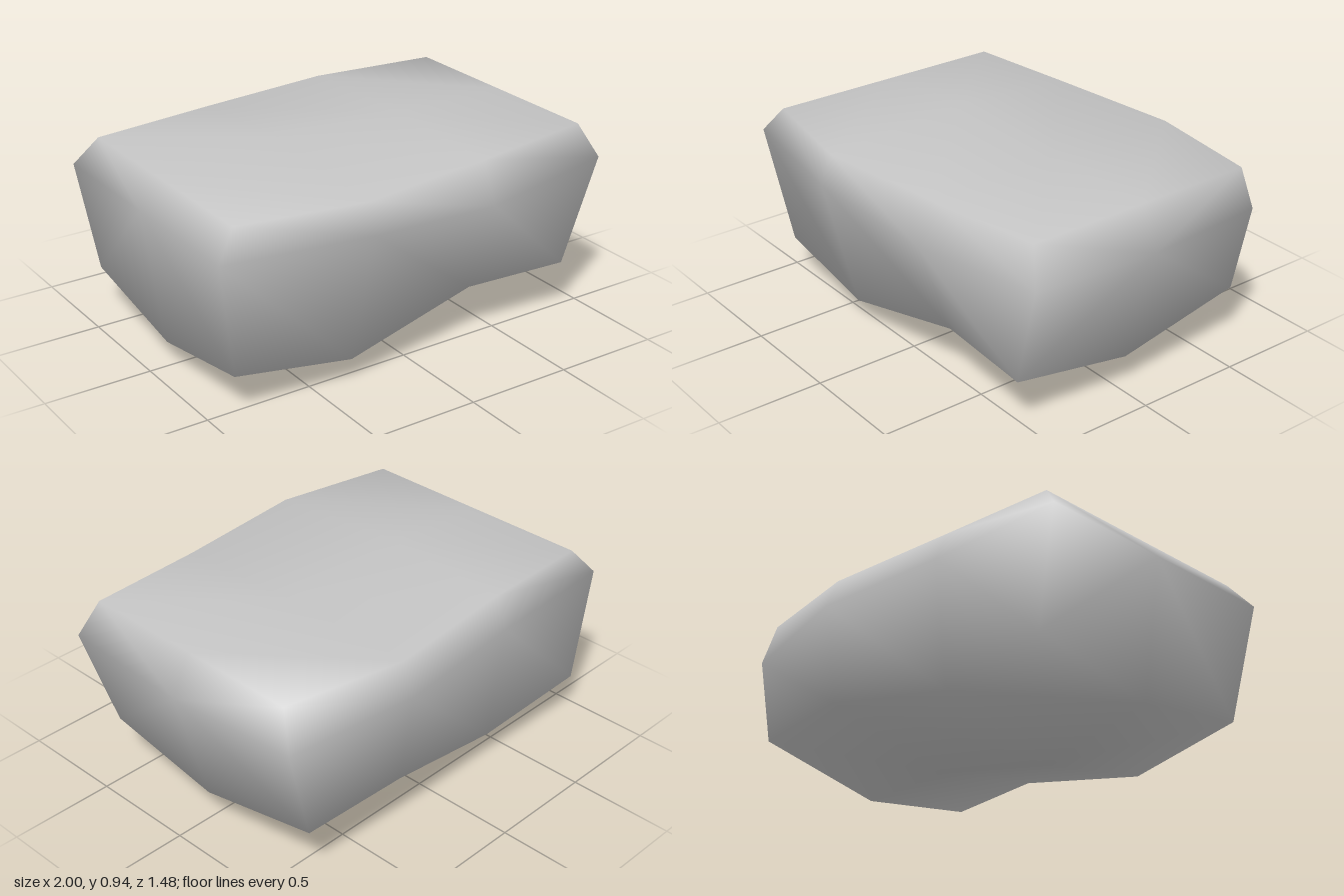
import * as THREE from 'three';

// Four rings of eight points [x, y, z] from the -x end to the +x end.
// Order: top front, top middle, top back, side back,
//        base back, base middle, base front, side front.
const rings = [
  [[-0.9, 0.88, 0.58], [-0.9, 0.88, -0.02], [-0.9, 0.88, -0.59], [-1, 0.755, -0.65],
    [-0.9, 0.22, -0.645], [-0.9, 0.105, -0.02], [-0.9, 0.2, 0.56], [-1, 0.755, 0.635]],
  [[-0.33, 0.885, 0.685], [-0.32, 0.945, -0.02], [-0.33, 0.9, -0.62], [-0.33, 0.755, -0.68],
    [-0.33, 0.16, -0.61], [-0.33, 0, -0.02], [-0.33, 0.115, 0.575], [-0.33, 0.755, 0.74]],
  [[0.33, 0.895, 0.61], [0.33, 0.92, -0.02], [0.33, 0.905, -0.68], [0.33, 0.755, -0.74],
    [0.33, 0.3, -0.67], [0.33, 0.155, -0.02], [0.33, 0.26, 0.535], [0.33, 0.71, 0.695]],
  [[0.91, 0.92, 0.55], [0.91, 0.92, -0.02], [0.91, 0.92, -0.58], [0.94, 0.72, -0.635],
    [0.84, 0.285, -0.64], [0.84, 0.16, -0.02], [0.84, 0.26, 0.57], [0.995, 0.76, 0.607]],
];
const endCentres = [[-1, 0.755, -0.02], [1, 0.73, -0.02]];

// Closed, smooth-shaded loft through the rings with a fan at each end.
function loft() {
  const n = 8;
  const last = (rings.length - 1) * n;
  const leftCentre = rings.length * n;
  const index = [];
  for (let i = 0; i < n; i++) {
    const j = (i + 1) % n;
    for (let r = 0; r < last; r += n) {
      index.push(r + i, r + n + i, r + j, r + j, r + n + i, r + n + j);
    }
    index.push(leftCentre, i, j);
    index.push(leftCentre + 1, last + j, last + i);
  }
  const geometry = new THREE.BufferGeometry();
  const points = [...rings.flat(), ...endCentres].flat();
  geometry.setAttribute('position', new THREE.Float32BufferAttribute(points, 3));
  geometry.setIndex(index);
  geometry.computeVertexNormals();
  return geometry;
}

export function createModel() {
  const stone = new THREE.MeshStandardMaterial({ color: 0xc4c4c4 });
  stone.name = 'stoneGrey';
  const boulder = new THREE.Mesh(loft(), stone);
  boulder.name = 'boulder';
  const group = new THREE.Group();
  group.name = 'rock';
  group.add(boulder);
  return group;
}
